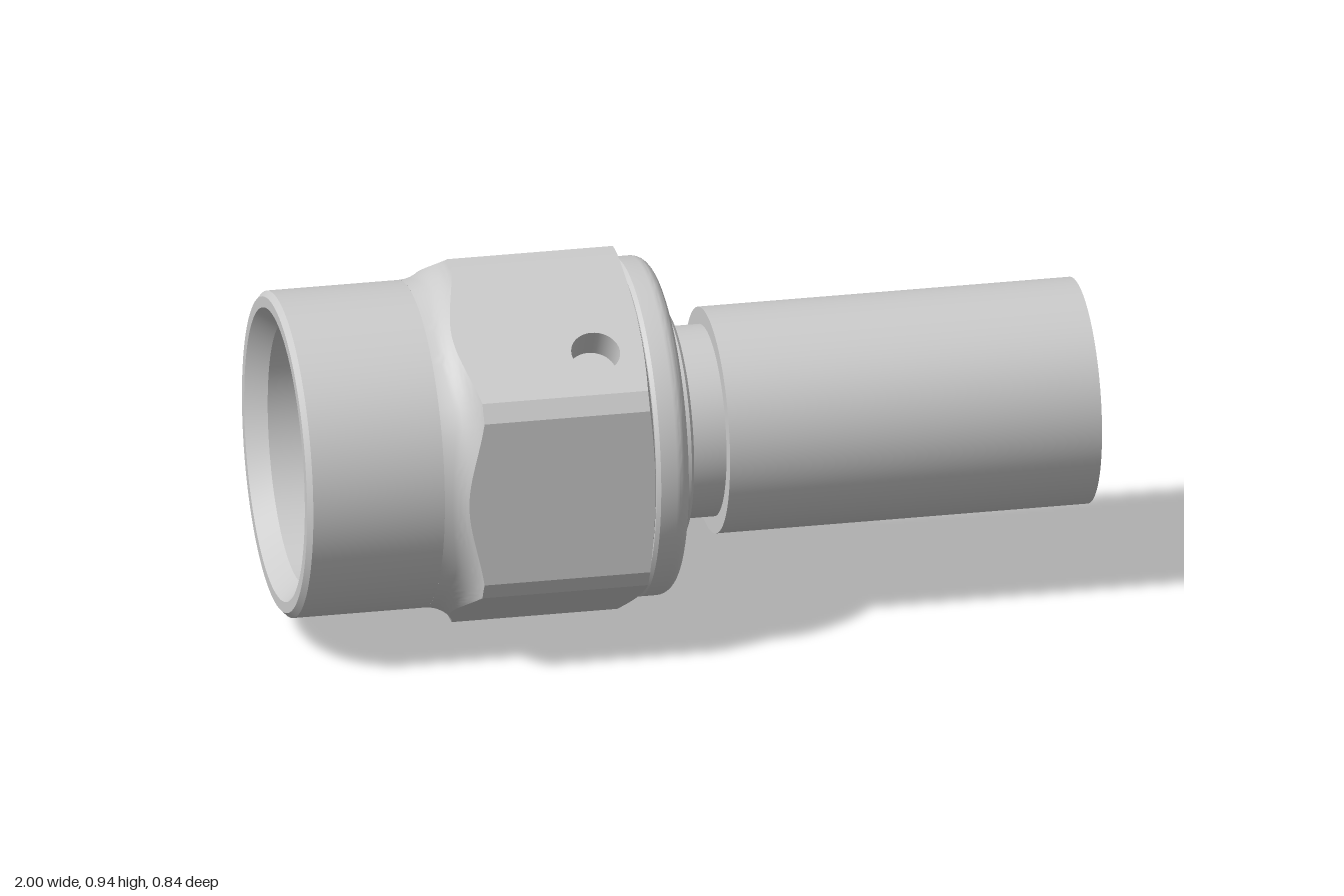
import * as THREE from 'three';
import { mergeGeometries, toCreasedNormals } from 'three/addons/utils/BufferGeometryUtils.js';

const CREASE = 0.35;
const material = new THREE.MeshStandardMaterial({ color: 0xcccccc, side: THREE.DoubleSide });

// Turned part about the x axis; profile points are [radius, x]
function turned(name, profile) {
  const geo = new THREE.LatheGeometry(profile.map(([r, x]) => new THREE.Vector2(r, x)), 96);
  geo.rotateZ(-Math.PI / 2);
  const mesh = new THREE.Mesh(toCreasedNormals(geo, CREASE), material);
  mesh.name = name;
  return mesh;
}

// Quarter or partial arc of profile points
function arc(r, x, radius, from, to, steps = 8) {
  return Array.from({ length: steps + 1 }, (_, i) => {
    const a = from + (to - from) * i / steps;
    return [r + radius * Math.sin(a), x + radius * Math.cos(a)];
  });
}

// Hexagon: apothem of the flats, apothem of the cut corners, radius of the barrel
const FLAT = 0.418, CUT = 0.468, BARREL = 0.4, FLARE = 0.1;
const cutHalf = (FLAT / Math.cos(Math.PI / 6) - CUT) * Math.tan(Math.PI / 3);
const flatHalf = FLAT * Math.tan(Math.PI / 6) - 2 * (FLAT / Math.cos(Math.PI / 6) - CUT);
const HOLE = { x: -0.26, u: -0.082, r: 0.06, depth: 0.08 };

// x of the concave flare and of the front chamfer at a given radius
const flareX = r => -0.66 + Math.sqrt(Math.max(0, FLARE ** 2 - (FLARE - (r - BARREL)) ** 2));
const chamferX = r => -0.14 - (r - FLAT) * 0.26;

const facetMatrix = (angle, apothem) => {
  const s = Math.sin(angle), c = Math.cos(angle);
  return new THREE.Matrix4().makeBasis(
    new THREE.Vector3(1, 0, 0), new THREE.Vector3(0, c, -s), new THREE.Vector3(0, s, c)
  ).setPosition(0, s * apothem, c * apothem);
};

// One side of the hexagon with its strips of flare and chamfer
function facet(angle, apothem, half, steps, hasHole) {
  const edge = [], back = [];
  for (let i = 0; i <= steps; i++) {
    const u = half * (2 * i / steps - 1), r = Math.hypot(u, apothem);
    edge.push(new THREE.Vector2(chamferX(r), u));
    back.unshift(new THREE.Vector2(flareX(r), u));
  }
  const shape = new THREE.Shape([...edge, ...back]);
  if (hasHole) shape.holes.push(new THREE.Path().absarc(HOLE.x, HOLE.u, HOLE.r, 0, Math.PI * 2, true));
  const parts = [new THREE.ShapeGeometry(shape, 20)];

  for (const isFlare of [true, false]) {
    const strip = new THREE.PlaneGeometry(1, 1, isFlare ? 10 : 2, steps);
    const p = strip.attributes.position;
    for (let i = 0; i < p.count; i++) {
      const u = 2 * half * p.getY(i), rim = Math.hypot(u, apothem);
      const t = isFlare ? p.getX(i) + 0.5 : 0.5 - p.getX(i);
      const r = BARREL + (rim - BARREL) * t;
      p.setXYZ(i, isFlare ? flareX(r) : chamferX(r), u * r / rim, apothem * (r / rim - 1));
    }
    parts.push(strip);
  }
  return parts.map(g => g.toNonIndexed().applyMatrix4(facetMatrix(angle, apothem)));
}

function hexBody() {
  const parts = [];
  for (let k = 0; k < 6; k++) {
    const angle = k * Math.PI / 3;
    parts.push(...facet(angle, FLAT, flatHalf, 24, k === 1));
    parts.push(...facet(angle + Math.PI / 6, CUT, cutHalf, 3, false));
  }
  const mesh = new THREE.Mesh(toCreasedNormals(mergeGeometries(parts), CREASE), material);
  mesh.name = 'nutHexagon';
  return mesh;
}

// Blind hole in one flat
function wireHole() {
  const wall = new THREE.CylinderGeometry(HOLE.r, HOLE.r, HOLE.depth, 40, 1, true);
  wall.rotateX(Math.PI / 2).translate(HOLE.x, HOLE.u, -HOLE.depth / 2);
  const floor = new THREE.CircleGeometry(HOLE.r, 40).translate(HOLE.x, HOLE.u, -HOLE.depth);
  const mesh = new THREE.Mesh(mergeGeometries([wall, floor]).applyMatrix4(facetMatrix(Math.PI / 3, FLAT)), material);
  mesh.name = 'wireHole';
  return mesh;
}

export function createModel() {
  const model = new THREE.Group();
  model.name = 'hoseFitting';

  // Swivel nut
  const nut = new THREE.Group();
  nut.name = 'nut';
  nut.add(turned('nutBarrel', [
    [0.32, -0.2], [0.32, -0.95], [0.36, -1], [0.387, -1], [0.4, -0.987], [BARREL, -0.66],
  ]));
  nut.add(hexBody(), wireHole());
  nut.add(turned('nutCollar', [
    [0.4, -0.135], [0.408, -0.135], [0.415, -0.125],
    ...arc(0.38, -0.085, 0.035, Math.PI / 2, 0),
    [0.31, -0.05], [0.294, -0.066], [0.294, -0.2], [0.32, -0.2],
  ]));

  // Stem with nose, collar, neck, outer sleeve and inner pipe
  const stem = turned('stem', [
    [0.117, -0.5], [0.15, -0.5], [0.287, -0.3], [0.287, -0.022], [0.28, -0.015],
    [0.235, -0.015], [0.235, 0.075], [0.277, 0.075], [0.277, 1], [0.25, 1],
    [0.25, 0.2], [0.237, 0.185], [0.17, 0.185], [0.17, 0.955], [0.155, 0.97],
    [0.117, 0.97], [0.117, -0.5],
  ]);

  // Rounded stop inside the bore
  const stop = new THREE.Mesh(new THREE.SphereGeometry(0.117, 40, 24), material);
  stop.name = 'boreStop';
  stop.position.x = -0.36;

  model.add(nut, stem, stop);
  for (const part of model.children) part.position.y = CUT;
  return model;
}
